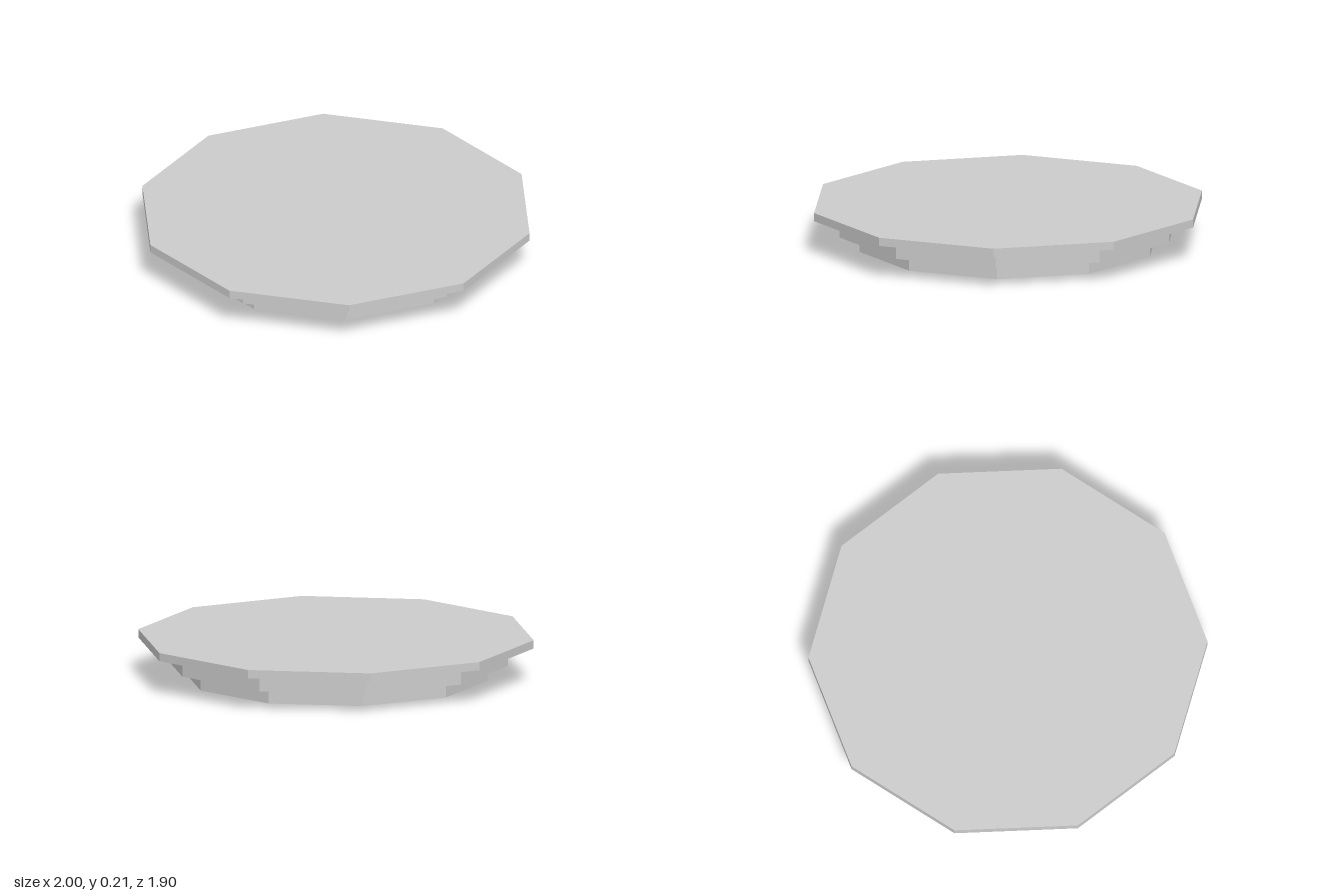
import * as THREE from 'three';

const SIDES = 10;

export function createModel() {
  const group = new THREE.Group();
  group.name = 'steppedPlatform';
  const material = new THREE.MeshStandardMaterial({ color: 0xcccccc, flatShading: true });

  // Three stacked decagonal tiers, widening upwards
  const tiers = [
    { name: 'baseTier', radius: 0.767, bottom: 0, top: 0.08 },
    { name: 'middleTier', radius: 0.87, bottom: 0.08, top: 0.171 },
    { name: 'topSlab', radius: 1, bottom: 0.171, top: 0.213 },
  ];

  for (const { name, radius, bottom, top } of tiers) {
    // Start angle puts a corner on the +x axis
    const geometry = new THREE.CylinderGeometry(radius, radius, top - bottom, SIDES, 1, false, Math.PI / 2);
    const mesh = new THREE.Mesh(geometry, material);
    mesh.name = name;
    mesh.position.y = (bottom + top) / 2;
    group.add(mesh);
  }
  return group;
}
